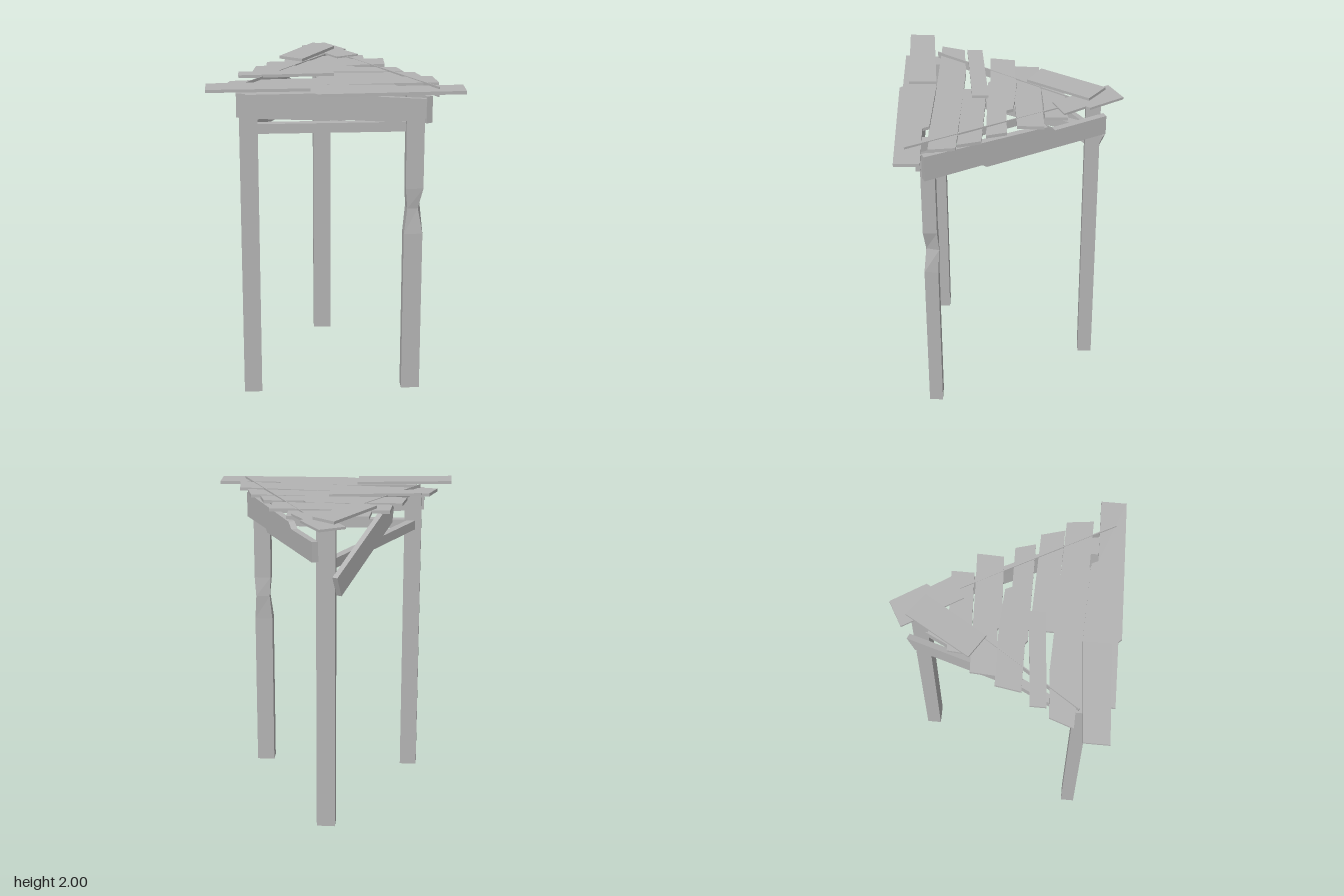
import * as THREE from 'three';

const wood = new THREE.MeshStandardMaterial({ color: 0xb3b3b3, side: THREE.DoubleSide });
wood.name = 'grey wood';

export function createModel() {
  const model = new THREE.Group();
  model.name = 'plankTower';

  const add = (name, geometry) => {
    const mesh = new THREE.Mesh(geometry, wood);
    mesh.name = name;
    model.add(mesh);
    return mesh;
  };
  const outline = pts => new THREE.Shape(pts.map(p => new THREE.Vector2(p[0], p[1])));

  // Square post through four-cornered rings [y, corners], open at the foot
  const post = (name, rings) => {
    const [topY, top] = rings[rings.length - 1];
    const cx = (top[0][0] + top[2][0]) / 2, cz = (top[0][1] + top[2][1]) / 2;
    const all = [...rings, [topY, top.map(() => [cx, cz])]];
    const pos = [];
    for (let r = 0; r < all.length - 1; r++) {
      for (let i = 0; i < 4; i++) {
        const j = (i + 1) % 4;
        const v = (k, c) => [all[k][1][c][0], all[k][0], all[k][1][c][1]];
        pos.push(...v(r, i), ...v(r, j), ...v(r + 1, j));
        if (r < all.length - 2) pos.push(...v(r, i), ...v(r + 1, j), ...v(r + 1, i));
      }
    }
    const g = new THREE.BufferGeometry();
    g.setAttribute('position', new THREE.Float32BufferAttribute(pos, 3));
    g.computeVertexNormals();
    add(name, g);
  };
  const square = (x0, x1, z0, z1) => [[x0, z1], [x1, z1], [x1, z0], [x0, z0]];

  // Upright board: side profile [distance, y] running in plan from a to b
  const board = (name, a, b, thick, profile) => {
    const g = new THREE.ExtrudeGeometry(outline(profile), { depth: thick, bevelEnabled: false });
    g.translate(0, 0, -thick / 2);
    g.rotateY(Math.atan2(a[1] - b[1], b[0] - a[0]));
    g.translate(a[0], 0, a[1]);
    add(name, g);
  };

  // Flat plank from a plan outline [x, z]; tilt raises it along x
  const plank = (name, y, thick, tilt, pts) => {
    const g = new THREE.ExtrudeGeometry(outline(pts.map(p => [p[0], -p[1]])), { depth: thick, bevelEnabled: false });
    g.rotateX(-Math.PI / 2);
    const p = g.attributes.position;
    for (let i = 0; i < p.count; i++) p.setY(i, p.getY(i) + y + tilt * p.getX(i));
    g.computeVertexNormals();
    add(name, g);
  };

  // Three legs, one with a worn waist
  const rightFoot = square(-0.57, -0.46, 0.435, 0.52);
  const backFoot = square(-0.085, 0.03, -0.55, -0.46);
  const leftFoot = square(0.42, 0.535, 0.435, 0.52);
  post('rightLeg', [[0, rightFoot], [1.94, rightFoot]]);
  post('backLeg', [[0, backFoot], [1.95, backFoot]]);
  post('leftLeg', [
    [0, leftFoot], [1.04, leftFoot],
    [1.2, [[0.44, 0.51], [0.505, 0.505], [0.525, 0.425], [0.435, 0.43]]],
    [1.33, square(0.428, 0.535, 0.435, 0.52)],
    [1.94, square(0.425, 0.535, 0.435, 0.52)],
  ]);

  // Upper rails
  board('frontRail', [-0.585, 0.53], [0.54, 0.53], 0.03,
    [[0, 1.80], [0.1, 1.79], [0.62, 1.77], [0.66, 1.775], [0.95, 1.755], [1.125, 1.775],
      [1.125, 1.895], [0.65, 1.925], [0.45, 1.925], [0, 1.945]]);
  board('leftRail', [0.565, 0.5], [0.03, -0.58], 0.04,
    [[0, 1.735], [0.37, 1.745], [0.4, 1.725], [1.2, 1.745], [1.2, 1.87], [0.85, 1.86], [0.8, 1.895], [0, 1.90]]);

  // Lower rails
  const lower = length => [[0, 1.685], [length, 1.685], [length, 1.745], [0, 1.745]];
  board('lowerFrontRail', [-0.46, 0.475], [0.425, 0.475], 0.05, lower(0.885));
  board('lowerRightRail', [-0.51, 0.45], [-0.06, -0.47], 0.05, lower(1.02));

  // Sloping brace outside the back leg
  board('brace', [-0.085, -0.585], [-0.385, 0.035], 0.035,
    [[0.05, 1.53], [0.68, 1.84], [0.7, 1.945], [0.6, 1.945], [0, 1.655]]);

  // Thin strips poking through the deck
  const strip = length => [[0, 1.92], [length, 1.92], [length, 1.982], [0, 1.97]];
  board('leftStrip', [0.12, -0.29], [0.605, 0.6], 0.006, strip(1.013));
  board('rightStrip', [-0.01, -0.36], [-0.56, 0.47], 0.006, strip(0.99));

  // Deck planks, front to back
  plank('frontPlank', 1.948, 0.02, 0, [[-0.53, 0.5], [-0.12, 0.455], [0.35, 0.47], [0.37, 0.51],
    [0.76, 0.5], [0.76, 0.652], [-0.11, 0.68], [-0.13, 0.66], [-0.53, 0.67]]);
  plank('frontTopPlank', 1.97, 0.018, -0.012, [[-0.76, 0.5], [-0.15, 0.455], [-0.15, 0.625], [-0.76, 0.655]]);
  plank('secondPlank', 1.948, 0.02, 0.012, [[-0.62, 0.3], [-0.33, 0.28], [0.6, 0.305], [0.62, 0.465], [-0.67, 0.445]]);
  plank('thirdPlank', 1.946, 0.02, 0, [[-0.1, 0.16], [0.01, 0.148], [0.51, 0.16], [0.55, 0.3], [-0.1, 0.29]]);
  plank('thirdTopPlank', 1.966, 0.018, -0.01, [[-0.57, 0.185], [0.01, 0.13], [0.01, 0.23], [-0.57, 0.28]]);
  plank('fourthPlank', 1.95, 0.02, -0.01, [[-0.46, -0.025], [-0.1, -0.035], [0.14, -0.02], [0.16, 0.02],
    [0.41, 0.015], [0.445, 0.135], [-0.17, 0.14], [-0.19, 0.125], [-0.485, 0.13]]);
  plank('fifthPlank', 1.948, 0.02, 0.01, [[-0.39, -0.175], [0.14, -0.195], [0.35, -0.205], [0.345, -0.045],
    [-0.08, -0.02], [-0.11, -0.04], [-0.4, -0.02]]);
  plank('sixthPlank', 1.942, 0.02, 0, [[-0.27, -0.32], [0.23, -0.345], [0.23, -0.21], [-0.28, -0.18]]);
  plank('backPlank', 1.958, 0.015, 0, [[0, -0.685], [0.13, -0.48], [0.115, -0.455], [0.2, -0.325],
    [0.06, -0.255], [-0.15, -0.6]]);
  plank('backTopPlank', 1.978, 0.018, -0.01, [[-0.08, -0.58], [0.055, -0.475], [-0.17, -0.1], [-0.31, -0.19]]);

  return model;
}
